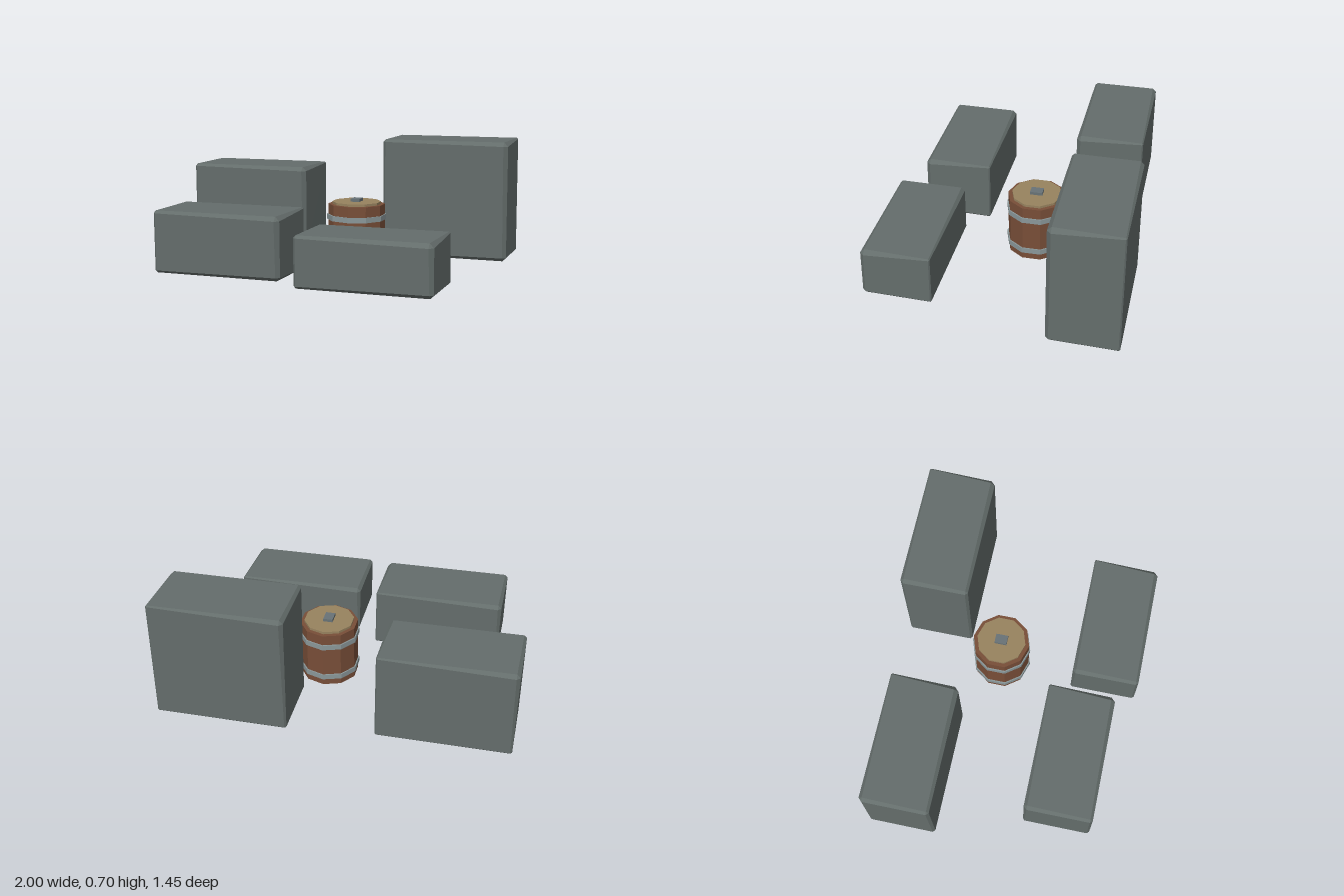
import * as THREE from 'three';
import { ConvexGeometry } from 'three/addons/geometries/ConvexGeometry.js';

function material(name, color) {
  const m = new THREE.MeshStandardMaterial({ color, flatShading: true });
  m.name = name;
  return m;
}

// Rough stone block: a box whose eight corners are chipped by different amounts
function blockGeometry(w, h, d) {
  // chip sizes as [left-back, right-back, left-front, right-front] (x-, x+)
  const chips = { top: [0.02, 0.007, 0.015, 0.024], bottom: [0.01, 0.008, 0.013, 0.02] };
  const points = [];
  for (const level of ['top', 'bottom']) {
    chips[level].forEach((b, i) => {
      const sx = i % 2 ? 1 : -1, sz = i < 2 ? -1 : 1, sy = level === 'top' ? 1 : -1;
      const lean = sy * -0.002;
      const at = (ix, iy, iz) => points.push(new THREE.Vector3(
        sx * (w / 2 - ix) + lean, h / 2 + sy * (h / 2 - iy), sz * (d / 2 - iz)));
      at(0, b, b);
      at(b, 0, b);
      at(b, b, 0);
    });
  }
  return new ConvexGeometry(points);
}

export function createModel() {
  const model = new THREE.Group();
  const stone = material('stone', 0x646d6b);
  const wood = material('barrel wood', 0x784e38);
  const paleWood = material('lid wood', 0x98835f);
  const iron = material('hoop iron', 0x8a9799);
  const darkIron = material('handle iron', 0x687276);

  const add = (parent, name, geometry, mat, x, y, z) => {
    const mesh = new THREE.Mesh(geometry, mat);
    mesh.name = name;
    mesh.position.set(x, y, z);
    parent.add(mesh);
  };

  // Four stone blocks around the barrel: name, x, z, height
  const blocks = [
    ['backRightBlock', -0.62, -0.475, 0.52],
    ['backLeftBlock', 0.618, -0.53, 0.705],
    ['frontRightBlock', -0.442, 0.411, 0.353],
    ['frontLeftBlock', 0.438, 0.528, 0.284],
  ];
  for (const [name, x, z, h] of blocks) add(model, name, blockGeometry(0.753, h, 0.396), stone, x, 0, z);

  // Ten-sided barrel
  const barrel = new THREE.Group();
  barrel.name = 'barrel';
  barrel.position.set(0.143, 0, -0.118);
  model.add(barrel);
  const drum = (name, r, y0, y1, mat) =>
    add(barrel, name, new THREE.CylinderGeometry(r, r, y1 - y0, 10), mat, 0, (y0 + y1) / 2, 0);
  drum('barrelBody', 0.168, 0, 0.339, wood);
  drum('lowerHoop', 0.1755, 0.04, 0.071, iron);
  drum('upperHoop', 0.1755, 0.247, 0.278, iron);
  drum('lid', 0.145, 0.335, 0.353, paleWood);
  add(barrel, 'lidHandle', new THREE.BoxGeometry(0.055, 0.02, 0.072), darkIron, 0, 0.36, 0);
  return model;
}
